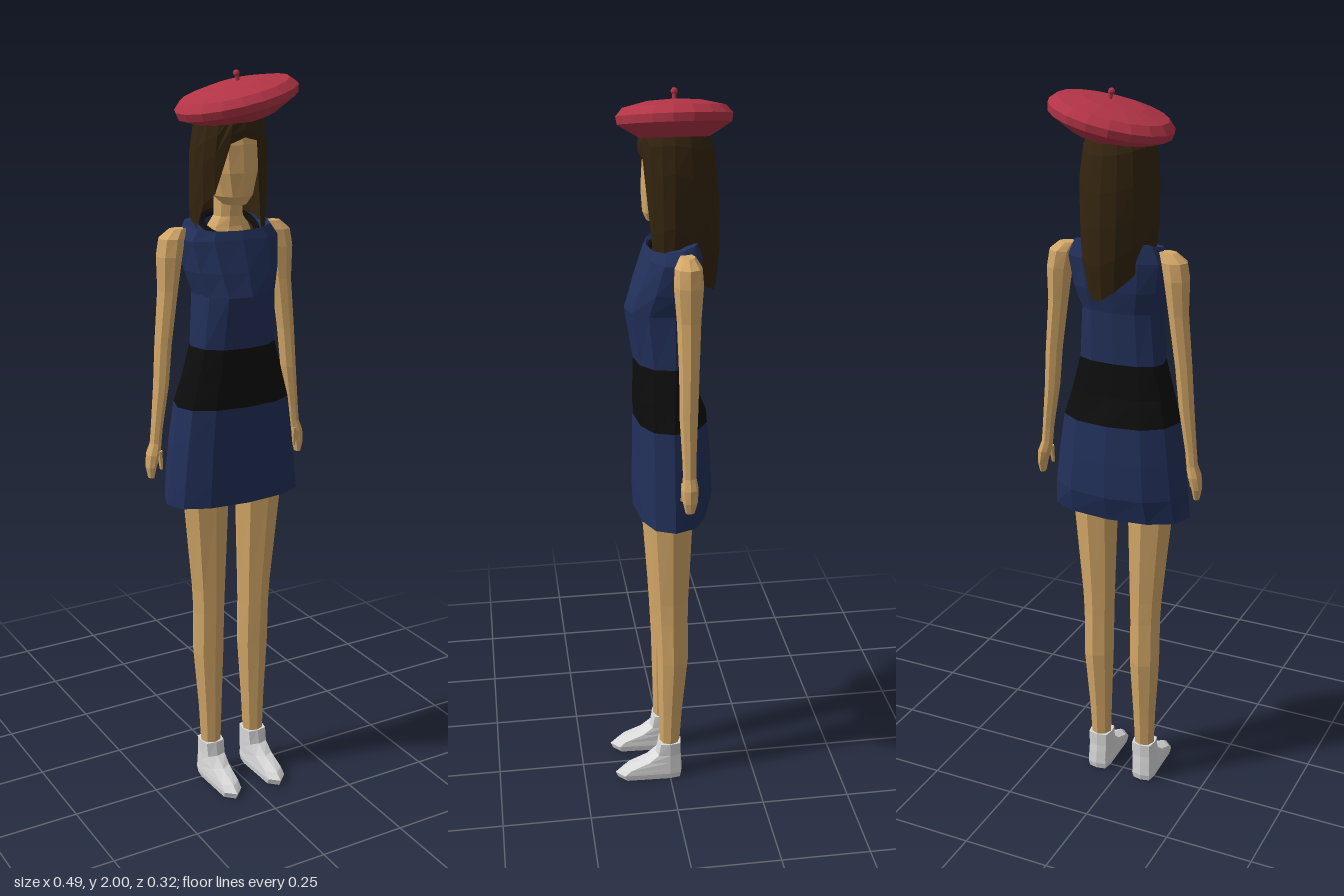
import * as THREE from 'three';

const paint = (name, color, side = THREE.FrontSide) => {
  const m = new THREE.MeshStandardMaterial({ color, side });
  m.name = name;
  return m;
};

// Flat-shaded mesh
function part(name, geometry, material) {
  const g = geometry.index ? geometry.toNonIndexed() : geometry;
  g.computeVertexNormals();
  const mesh = new THREE.Mesh(g, material);
  mesh.name = name;
  return mesh;
}

// Surface through closed loops of points, listed from bottom to top
function skinLoops(loops, capped) {
  const n = loops[0].length, pos = [], idx = [];
  loops.forEach(l => l.forEach(p => pos.push(p.x, p.y, p.z)));
  for (let j = 0; j < loops.length - 1; j++)
    for (let i = 0; i < n; i++) {
      const a = j * n + i, b = j * n + (i + 1) % n;
      idx.push(a, a + n, b, b, a + n, b + n);
    }
  if (capped) [0, loops.length - 1].forEach(j => {
    const c = loops[j].reduce((s, p) => s.add(p), new THREE.Vector3()).divideScalar(n);
    const k = pos.length / 3;
    pos.push(c.x, c.y, c.z);
    for (let i = 0; i < n; i++) {
      const a = j * n + i, b = j * n + (i + 1) % n;
      if (j === 0) idx.push(k, a, b); else idx.push(k, b, a);
    }
  });
  const g = new THREE.BufferGeometry();
  g.setAttribute('position', new THREE.Float32BufferAttribute(pos, 3));
  g.setIndex(idx);
  return g;
}

// Oval ring: [y, centre x, centre z, half width, front z, back z, rise towards front]
function ring([y, cx, cz, rx, zf, zb, rise = 0], n, power, side = 1) {
  const bend = v => Math.sign(v) * Math.pow(Math.abs(v), power);
  return Array.from({ length: n }, (_, i) => {
    const a = (i / n) * Math.PI * 2;
    const c = bend(Math.round(Math.cos(a) * 1e6) / 1e6), s = bend(Math.round(Math.sin(a) * 1e6) / 1e6);
    return new THREE.Vector3(side * cx + rx * c, y + rise * s, cz + s * (s > 0 ? zf - cz : cz - zb));
  });
}

const loft = (rings, n, { power = 1, side = 1, capped = true } = {}) =>
  skinLoops(rings.map(r => ring(r, n, power, side)), capped);

export function createModel() {
  const model = new THREE.Group();
  model.name = 'woman';
  const skin = paint('skin', 0xd4a868);
  const navy = paint('navy cloth', 0x22305a, THREE.DoubleSide);
  const black = paint('black cloth', 0x0d0d0d, THREE.DoubleSide);
  const brown = paint('brown hair', 0x33240f, THREE.DoubleSide);
  const red = paint('red felt', 0xb23446);
  const white = paint('white shoe', 0xdadada);
  const add = (name, g, m) => model.add(part(name, g, m));

  // Dress
  const hip = [1.14, 0, 0, 0.165, 0.09, -0.11], waist = [1.3, 0, -0.01, 0.12, 0.088, -0.065];
  const neckline = [1.612, 0, -0.02, 0.075, 0.045, -0.068, -0.026];
  const open = { power: 0.85, capped: false };
  add('skirt', loft([
    [0.87, 0, 0, 0.2, 0.092, -0.105],
    [0.94, 0, 0, 0.192, 0.092, -0.124],
    [1.04, 0, 0, 0.18, 0.09, -0.12],
    hip,
  ], 12, open), navy);
  add('belt', loft([hip, [1.21, 0, -0.005, 0.145, 0.09, -0.08], waist], 12, open), black);
  add('bodice', loft([
    waist,
    [1.44, 0, -0.01, 0.11, 0.11, -0.072],
    [1.5, 0, -0.02, 0.13, 0.09, -0.085],
    [1.58, 0, -0.03, 0.143, 0.06, -0.09],
    [1.617, 0, -0.03, 0.122, 0.05, -0.083, -0.014],
    neckline,
  ], 12, open), navy);
  const collarPath = new THREE.CatmullRomCurve3(ring(neckline, 12, 0.85), true);
  add('collar', new THREE.TubeGeometry(collarPath, 24, 0.009, 5, true), black);

  // Neck and head
  add('neck', loft([
    [1.56, 0, -0.02, 0.08, 0.04, -0.065],
    [1.61, 0, -0.02, 0.06, 0.02, -0.06],
    [1.635, 0, -0.02, 0.04, 0.015, -0.055],
    [1.72, 0, -0.02, 0.037, 0.015, -0.055],
  ], 10), skin);
  add('head', loft([
    [1.668, 0, 0.01, 0.03, 0.05, -0.03],
    [1.69, 0, 0, 0.05, 0.06, -0.05],
    [1.75, 0, -0.01, 0.068, 0.064, -0.08],
    [1.82, 0, -0.01, 0.073, 0.06, -0.09],
    [1.9, 0, -0.01, 0.062, 0.04, -0.08],
  ], 12, { power: 0.9 }), skin);

  // Hair: each lock hangs from the crown to its own length
  const shape = [ // y, half width, front z, back z
    [1.48, 0.07, 0.03, -0.13], [1.58, 0.095, 0.06, -0.14], [1.66, 0.102, 0.062, -0.14],
    [1.8, 0.102, 0.066, -0.132], [1.87, 0.092, 0.072, -0.118], [1.94, 0.06, 0.05, -0.085],
  ];
  const ends = [1.6, 1.59, 1.575, 1.83, 1.84, 1.825, 1.7, 1.67, 1.61, 1.57, 1.54, 1.51, 1.49, 1.485, 1.5, 1.56];
  const hairRing = y => {
    const k = Math.max(1, shape.findIndex(s => s[0] >= y - 1e-6));
    const t = (y - shape[k - 1][0]) / (shape[k][0] - shape[k - 1][0]);
    const [, w, f, b] = shape[k].map((v, i) => THREE.MathUtils.lerp(shape[k - 1][i], v, t));
    return ring([y, 0, -0.01, w, f, b], ends.length, 1);
  };
  const hairRows = [0, 0.2, 0.4, 0.6, 0.8, 1].map(t =>
    ends.map((end, i) => hairRing(THREE.MathUtils.lerp(end, 1.94, t))[i]));
  add('hair', skinLoops(hairRows, false), brown);

  // Tilted beret with its stalk
  const beret = new THREE.Group();
  beret.name = 'beret';
  const profile = [[0, -0.047], [0.1, -0.045], [0.163, -0.012], [0.167, 0.008], [0.147, 0.028], [0.08, 0.042], [0, 0.047]];
  const crown = part('beretCrown', new THREE.LatheGeometry(profile.map(p => new THREE.Vector2(...p)), 18), red);
  crown.scale.z = 0.87;
  const stalk = part('beretStalk', new THREE.CylinderGeometry(0.006, 0.005, 0.03, 8), red);
  stalk.position.set(0.013, 0.053, 0);
  const knob = part('beretKnob', new THREE.SphereGeometry(0.009, 8, 6), red);
  knob.position.set(0.013, 0.064, 0);
  beret.add(crown, stalk, knob);
  beret.position.set(0.025, 1.925, -0.018);
  beret.rotation.z = 0.225;
  model.add(beret);

  // Limbs, mirrored
  for (const [label, side] of [['left', 1], ['right', -1]]) {
    add(label + 'Arm', loft([
      [1.02, 0.218, -0.032, 0.016, -0.015, -0.05],
      [1.08, 0.212, -0.032, 0.016, -0.014, -0.05],
      [1.2, 0.197, -0.032, 0.021, -0.008, -0.056],
      [1.31, 0.188, -0.034, 0.023, -0.008, -0.06],
      [1.45, 0.172, -0.035, 0.027, -0.004, -0.066],
      [1.54, 0.166, -0.035, 0.035, 0.003, -0.073],
      [1.585, 0.158, -0.035, 0.036, 0, -0.07],
      [1.608, 0.14, -0.035, 0.025, -0.015, -0.055],
    ], 8, { side }), skin);
    add(label + 'Hand', loft([
      [0.945, 0.231, -0.032, 0.008, -0.02, -0.044],
      [0.975, 0.231, -0.032, 0.014, -0.013, -0.052],
      [1.01, 0.224, -0.032, 0.019, -0.01, -0.055],
      [1.04, 0.216, -0.032, 0.016, -0.014, -0.05],
    ], 8, { side }), skin);
    add(label + 'Thumb', loft([
      [0.97, 0.208, -0.015, 0.005, -0.01, -0.02],
      [1.02, 0.211, -0.02, 0.009, -0.01, -0.03],
    ], 6, { side }), skin);
    add(label + 'Leg', loft([
      [0.1, 0.07, 0, 0.029, 0.028, -0.03],
      [0.22, 0.07, -0.003, 0.034, 0.03, -0.038],
      [0.4, 0.072, -0.008, 0.045, 0.034, -0.055],
      [0.53, 0.072, -0.005, 0.045, 0.04, -0.053],
      [0.6, 0.073, -0.005, 0.048, 0.044, -0.054],
      [0.87, 0.082, 0, 0.066, 0.062, -0.064],
      [0.98, 0.085, 0, 0.07, 0.064, -0.07],
    ], 8, { side }), skin);
    add(label + 'Shoe', loft([
      [0, 0.072, 0, 0.03, 0.152, -0.034],
      [0.018, 0.072, 0, 0.033, 0.16, -0.038],
      [0.034, 0.072, 0, 0.032, 0.138, -0.037],
      [0.056, 0.071, 0, 0.032, 0.075, -0.036],
      [0.08, 0.07, 0, 0.032, 0.04, -0.034],
      [0.12, 0.07, 0, 0.033, 0.032, -0.035],
    ], 8, { side, power: 0.5 }), white);
  }
  return model;
}
